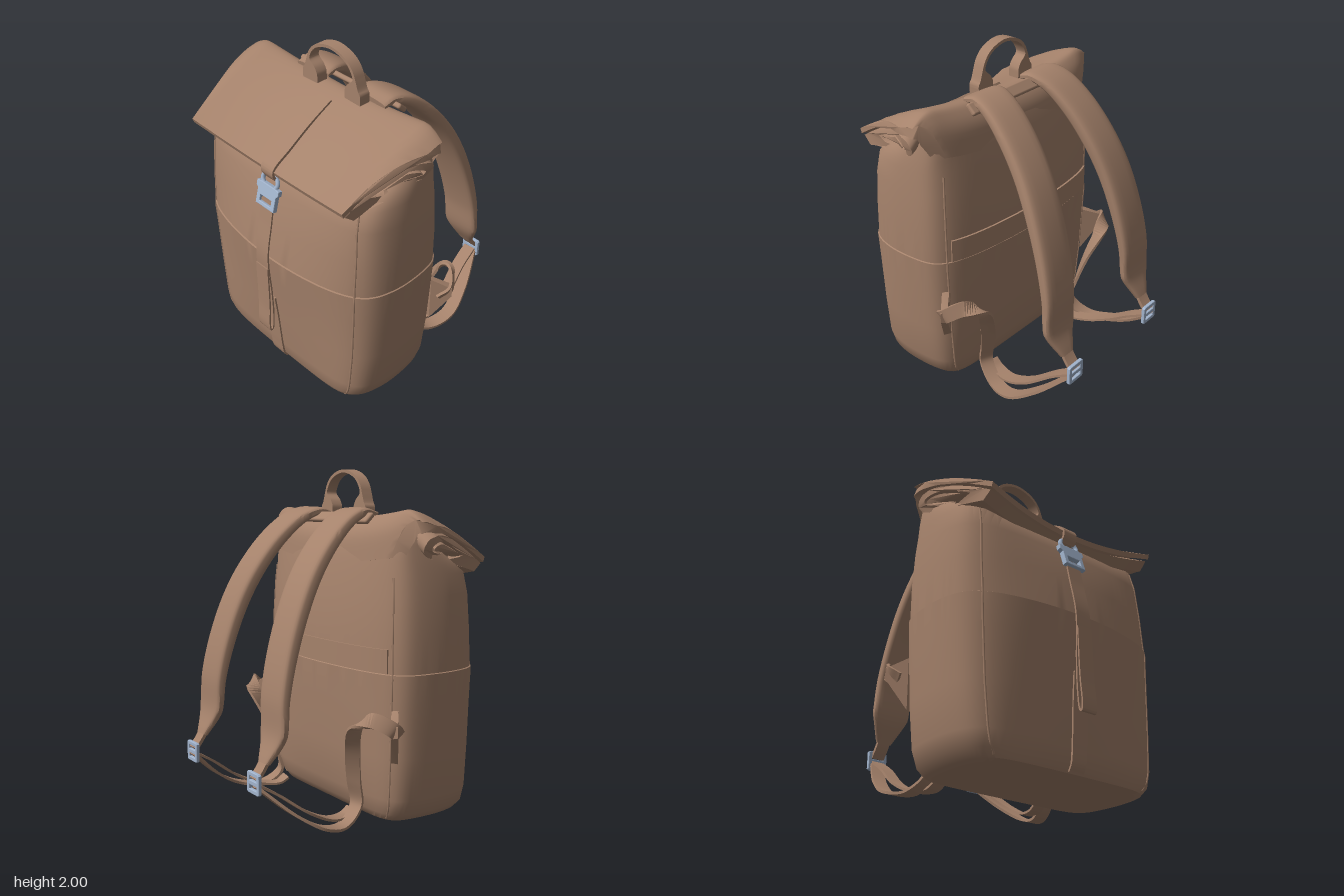
import * as THREE from 'three';
import { toCreasedNormals } from 'three/addons/utils/BufferGeometryUtils.js';
import { RoundedBoxGeometry } from 'three/addons/geometries/RoundedBoxGeometry.js';
import { ConvexGeometry } from 'three/addons/geometries/ConvexGeometry.js';

const V = (x, y, z) => new THREE.Vector3(x, y, z);
const fabric = new THREE.MeshStandardMaterial({ name: 'brownFabric', color: 0xa5826b });
const metal = new THREE.MeshStandardMaterial({ name: 'blueSteel', color: 0xa2b4cd });

// Piecewise linear lookup in rows [key, a, b, ...]
function lookup(rows, k) {
  let i = 0;
  while (i < rows.length - 2 && k > rows[i + 1][0]) i++;
  const [p, q] = [rows[i], rows[i + 1]];
  const t = THREE.MathUtils.clamp((k - p[0]) / (q[0] - p[0]), 0, 1);
  return p.slice(1).map((v, j) => v + (q[j + 1] - v) * t);
}

// Skin through closed rings, capped at both ends, always facing outward
function loft(rings, crease = 0.6) {
  const n = rings[0].length, pts = rings.flat(), tris = [];
  for (let i = 0; i < rings.length - 1; i++)
    for (let j = 0; j < n; j++) {
      const a = i * n + j, b = i * n + (j + 1) % n;
      tris.push([a, b, a + n], [b, b + n, a + n]);
    }
  const cap = (start, flip) => {
    const c = V(0, 0, 0);
    for (let j = 0; j < n; j++) c.addScaledVector(pts[start + j], 1 / n);
    const k = pts.push(c) - 1;
    for (let j = 0; j < n; j++) {
      const a = start + j, b = start + (j + 1) % n;
      tris.push(flip ? [b, a, k] : [a, b, k]);
    }
  };
  cap(0, true);
  cap((rings.length - 1) * n, false);
  let volume = 0;
  for (const [a, b, c] of tris) volume += pts[a].dot(pts[b].clone().cross(pts[c]));
  const g = new THREE.BufferGeometry().setFromPoints(pts);
  g.setIndex(tris.flatMap(([a, b, c]) => (volume < 0 ? [a, c, b] : [a, b, c])));
  return toCreasedNormals(g, crease);
}

// Strap along a path; sides = width directions, width and thick = functions of 0..1
function strap(path, sides, width, thick, { round = false, steps = 40 } = {}) {
  const curve = new THREE.CatmullRomCurve3(path, false, 'centripetal');
  const rings = [];
  for (let i = 0; i <= steps; i++) {
    const u = i / steps, p = curve.getPoint(u), t = curve.getTangent(u);
    const f = u * (sides.length - 1), k = Math.min(Math.floor(f), Math.max(0, sides.length - 2));
    const s = sides[k].clone();
    if (sides.length > 1) s.lerp(sides[k + 1], f - k);
    s.addScaledVector(t, -s.dot(t)).normalize();
    const nrm = t.clone().cross(s), w = width(u) / 2, h = thick(u) / 2, ring = [];
    const count = round ? 20 : 4;
    for (let j = 0; j < count; j++) {
      const a = ((j + 0.5) / count) * Math.PI * 2, e = round ? 0.5 : 0;
      const c = Math.cos(a), d = Math.sin(a);
      ring.push(p.clone().addScaledVector(s, w * Math.sign(c) * Math.abs(c) ** e)
        .addScaledVector(nrm, h * Math.sign(d) * Math.abs(d) ** e));
    }
    rings.push(ring);
  }
  return loft(rings);
}

// Body sections: height, half width, back and front corner z, back and front bulge
const SECTIONS = [
  [0.0, 0.55, 0.06, 0.55, 0, 0], [0.015, 0.605, 0.02, 0.595, 0, 0.01], [0.06, 0.65, 0, 0.61, 0.01, 0.02],
  [0.15, 0.678, -0.01, 0.612, 0.03, 0.03], [0.4, 0.702, -0.015, 0.605, 0.055, 0.055],
  [0.7, 0.718, -0.018, 0.6, 0.07, 0.09], [0.876, 0.727, -0.02, 0.6, 0.08, 0.105],
  [0.88, 0.721, -0.016, 0.595, 0.078, 0.102], [1.1, 0.72, -0.015, 0.585, 0.075, 0.075],
  [1.3, 0.71, -0.008, 0.575, 0.06, 0.035], [1.42, 0.698, 0, 0.55, 0.05, 0.015], [1.5, 0.685, 0.005, 0.44, 0.04, 0],
  [1.58, 0.665, 0.012, 0.32, 0.03, 0], [1.65, 0.645, 0.03, 0.2, 0.02, 0], [1.69, 0.6, 0.055, 0.15, 0.01, 0],
];
// Rounded square with bowed front and back, and sides drawn in at the corners
function bodyPoint(y, a) {
  const [w, zb, zf, backBulge, frontBulge] = lookup(SECTIONS, y);
  const c = Math.cos(a), s = Math.sin(a), r = (c ** 8 + s ** 8) ** -0.125;
  const u = c * r, v = s * r, bulge = v > 0 ? frontBulge : -backBulge;
  return V(w * u * (1 - (v > 0 ? 0.11 : 0.06) * v * v), y,
    (zb + zf) / 2 + ((zf - zb) / 2) * v + bulge * (1 - u * u) * Math.abs(v));
}

// Bends flap points: flared sides, sagging middle, dropped front
const FLAP_WIDTH = [[-0.03, 0.62], [0.03, 0.68], [0.1, 0.735], [0.2, 0.735], [0.35, 0.68], [0.5, 0.635], [0.68, 0.61]];
function bendFlap(x, y, z) {
  const t = THREE.MathUtils.clamp(z / 0.66, 0, 1), r = Math.abs(x) / 0.62;
  const sag = Math.max(0, 1 - r * r), over = Math.max(0, Math.abs(x) - 0.6) / 0.13;
  const tuck = z < 0.1 ? 0.05 * r ** 4 * (0.1 - z) / 0.13 : 0;
  return V(x, y - (0.05 + 0.02 * t) * sag - 0.06 * over * over, z - 0.05 * t * sag + tuck);
}
function flapLayer(runs, hole, scale) {
  const vec = (list) => list.map(([z, y]) => new THREE.Vector2(z, y));
  const trace = (path, lists) => lists.forEach((l, i) => {
    const p = vec(l);
    if (i) path.lineTo(p[0].x, p[0].y); else path.moveTo(p[0].x, p[0].y);
    path.splineThru(p.slice(1));
  });
  const shape = new THREE.Shape();
  trace(shape, runs);
  if (hole) { const h = new THREE.Path(); trace(h, [hole]); shape.holes.push(h); }
  const g = new THREE.ExtrudeGeometry(shape, { depth: 2, steps: 36, bevelEnabled: false, curveSegments: 4 });
  g.translate(0, 0, -1).rotateY(-Math.PI / 2);
  const pos = g.attributes.position;
  for (let i = 0; i < pos.count; i++) {
    const [x, y, z] = [pos.getX(i), pos.getY(i), pos.getZ(i)];
    const narrow = z < 0.4 ? 0.3 * Math.max(0, 1.64 - y) : 0;
    const p = bendFlap(x * (lookup(FLAP_WIDTH, z)[0] - narrow) * scale, y, z);
    pos.setXYZ(i, p.x, p.y, p.z);
  }
  return toCreasedNormals(g, 0.6);
}

// Flat plate with rectangular windows, each [x0, y0, x1, y1]
function plate(outline, windows, depth) {
  const shape = new THREE.Shape(outline.map(([x, y]) => new THREE.Vector2(x, y)));
  for (const [a, b, c, d] of windows)
    shape.holes.push(new THREE.Path([[a, b], [a, d], [c, d], [c, b]].map(([x, y]) => new THREE.Vector2(x, y))));
  return new THREE.ExtrudeGeometry(shape, { depth, bevelThickness: 0.004, bevelSize: 0.004, bevelSegments: 2 })
    .translate(0, 0, -depth / 2);
}

export function createModel() {
  const model = new THREE.Group();
  model.name = 'backpack';
  const add = (name, geometry, material = fabric, parent = model) => {
    const m = new THREE.Mesh(geometry, material);
    m.name = name;
    parent.add(m);
    return m;
  };
  const X = [V(1, 0, 0)], flat = (v) => () => v;

  // Main bag with corner piping
  add('body', loft(SECTIONS.map(([y]) =>
    Array.from({ length: 112 }, (_, i) => bodyPoint(y, (i / 112) * Math.PI * 2))), 0.7));
  for (const a of [0.25, 0.75, 1.25, 1.75]) {
    const line = Array.from({ length: 28 }, (_, i) => bodyPoint(0.03 + i * 0.051, a * Math.PI));
    add('cornerPiping', new THREE.TubeGeometry(new THREE.CatmullRomCurve3(line), 60, 0.006, 6));
  }

  // Rolled top
  add('flap', flapLayer([
    [[-0.03, 1.52], [-0.01, 1.66], [0.04, 1.74], [0.1, 1.775], [0.2, 1.752], [0.4, 1.66], [0.68, 1.5]],
    [[0.67, 1.472], [0.4, 1.625], [0.2, 1.71], [0.1, 1.71], [0.06, 1.66], [0.03, 1.52]]], null, 1));
  add('flapRoll', flapLayer(
    [[[0.655, 1.465], [0.4, 1.612], [0.22, 1.68], [0.14, 1.64], [0.16, 1.56], [0.3, 1.505], [0.6, 1.42]]],
    [[0.5, 1.515], [0.3, 1.625], [0.2, 1.63], [0.22, 1.575], [0.4, 1.515], [0.5, 1.515]], 0.985));
  add('flapRollCore', flapLayer(
    [[[0.46, 1.528], [0.3, 1.608], [0.22, 1.615], [0.23, 1.585], [0.38, 1.528]]], null, 0.99));

  // Front closure strap
  const sx = -0.012;
  add('flapStrap', strap([[0.22, 1.745], [0.4, 1.663], [0.55, 1.58], [0.675, 1.508], [0.682, 1.47], [0.66, 1.43]]
    .map(([z, y]) => bendFlap(sx, y + 0.005, z)), X, flat(0.095), flat(0.016)));
  add('frontStrap', strap([[1.23, 0.645], [1.1, 0.67], [0.88, 0.71], [0.6, 0.7], [0.42, 0.7], [0.325, 0.712],
    [0.32, 0.724], [0.36, 0.731], [0.5, 0.722], [0.8, 0.718]].map(([y, z]) => V(sx, y, z)),
    X, flat(0.1), flat(0.01), { steps: 60 }));
  add('sewnStrap', strap([0.55, 0.4, 0.25, 0.15, 0.06, 0.02].map((y) =>
    bodyPoint(y, Math.PI / 2).setX(sx).add(V(0, 0, 0.004))), X, flat(0.1), flat(0.012)));

  // Front buckle
  const buckle = new THREE.Group();
  buckle.name = 'frontBuckle';
  buckle.position.set(sx, 1.26, 0.642);
  buckle.rotation.x = -0.27;
  model.add(buckle);
  add('buckleBody', plate([[-0.07, -0.068], [0.07, -0.068], [0.07, 0.02], [0.085, 0.035], [0.085, 0.06],
    [0.05, 0.065], [-0.05, 0.065], [-0.085, 0.06], [-0.085, 0.035], [-0.07, 0.02]],
    [[-0.05, -0.053, 0.05, -0.008]], 0.022), metal, buckle);
  add('buckleRing', new THREE.TorusGeometry(0.06, 0.013, 10, 30, Math.PI * 1.4)
    .rotateZ(-Math.PI * 0.2).scale(1, 0.75, 1).translate(0, 0.09, 0), metal, buckle);

  // Carry handle with thick feet
  add('carryHandle', strap([V(-0.165, 1.73, 0.14), V(-0.168, 1.8, 0.14), V(-0.178, 1.87, 0.14), V(-0.125, 1.95, 0.14),
    V(0, 1.99, 0.14), V(0.125, 1.95, 0.14), V(0.178, 1.87, 0.14), V(0.168, 1.8, 0.14), V(0.165, 1.73, 0.14)],
    [V(0, 0, 1)], flat(0.07), (u) => 0.018 + 0.1 * THREE.MathUtils.smoothstep(Math.abs(u - 0.5), 0.24, 0.42),
    { steps: 64 }));

  // Back anchor panel and luggage sleeve
  const anchor = add('strapAnchor', new RoundedBoxGeometry(0.78, 0.03, 0.075, 3, 0.012));
  anchor.position.set(0, 1.722, 0.018);
  anchor.rotation.x = -0.75;
  const sleeve = Array.from({ length: 25 }, (_, i) => bodyPoint(0.95, Math.PI * (1.26 + (i / 24) * 0.48)));
  add('luggageSleeve', strap(sleeve, [V(0, 1, 0)], flat(0.135), flat(0.022)));

  for (const s of [1, -1]) {
    const side = new THREE.Group();
    side.name = s > 0 ? 'leftHarness' : 'rightHarness';
    model.add(side);
    const P = (list) => list.map(([x, y, z]) => V(s * x, y, z));

    // Padded shoulder strap
    add('shoulderStrap', strap(P([[0.225, 1.745, 0.1], [0.23, 1.755, 0.03], [0.25, 1.715, -0.075], [0.275, 1.6, -0.21],
      [0.3, 1.43, -0.343], [0.325, 1.24, -0.445], [0.345, 1.0, -0.533], [0.36, 0.78, -0.585], [0.37, 0.57, -0.605],
      [0.37, 0.43, -0.665]]), X, (u) => 0.24 - 0.145 * THREE.MathUtils.clamp((u - 0.88) / 0.12, 0, 1),
      (u) => 0.035 + 0.055 * Math.sin(Math.PI * u), { round: true, steps: 60 }), fabric, side);
    add('strapTip', strap(P([[0.37, 0.48, -0.64], [0.37, 0.41, -0.68], [0.37, 0.35, -0.725]]),
      X, flat(0.08), flat(0.02), { steps: 8 }), fabric, side);

    // Adjuster buckle
    const adjuster = add('strapAdjuster', plate([[-0.058, -0.05], [-0.05, -0.056], [0.05, -0.056], [0.058, -0.05],
      [0.058, 0.05], [0.05, 0.056], [-0.05, 0.056], [-0.058, 0.05]],
      [[-0.042, -0.04, 0.042, -0.009], [-0.042, 0.009, 0.042, 0.04]], 0.014), metal, side);
    adjuster.position.set(s * 0.37, 0.33, -0.727);

    // Lower webbing from the side wing to the adjuster, and its loose tail
    add('lowerWebbing', strap(P([[0.7, 0.55, -0.01], [0.735, 0.6, -0.07], [0.66, 0.65, -0.155], [0.56, 0.6, -0.195],
      [0.48, 0.45, -0.16], [0.43, 0.25, -0.115], [0.42, 0.1, -0.09], [0.46, 0.018, -0.2], [0.5, 0.04, -0.36],
      [0.46, 0.14, -0.53], [0.37, 0.31, -0.722]]),
      P([[0.2, 0.7, 0.5], [0.2, 0.7, 0.5], [0.4, 0.4, 0.6], [0.7, 0, 0.6], [0.9, 0, 0.3], [1, 0, 0], [1, 0, 0],
        [1, 0, 0]]), flat(0.085), flat(0.016), { steps: 80 }), fabric, side);
    add('webbingTail', strap(P([[0.37, 0.32, -0.715], [0.38, 0.25, -0.6], [0.41, 0.12, -0.42], [0.4, 0.045, -0.26],
      [0.37, 0.035, -0.14], [0.36, 0.065, -0.08]]), X, flat(0.08), flat(0.014)), fabric, side);

    // Triangular side wing
    add('sideWing', toCreasedNormals(new ConvexGeometry(P([[0.62, 0.68, 0], [0.62, 0.38, 0], [0.66, 0.68, 0.02],
      [0.66, 0.38, 0.02], [0.72, 0.63, -0.08], [0.72, 0.55, -0.08], [0.755, 0.62, -0.06], [0.755, 0.56, -0.06]])), 0.4),
      fabric, side);
  }
  return model;
}
